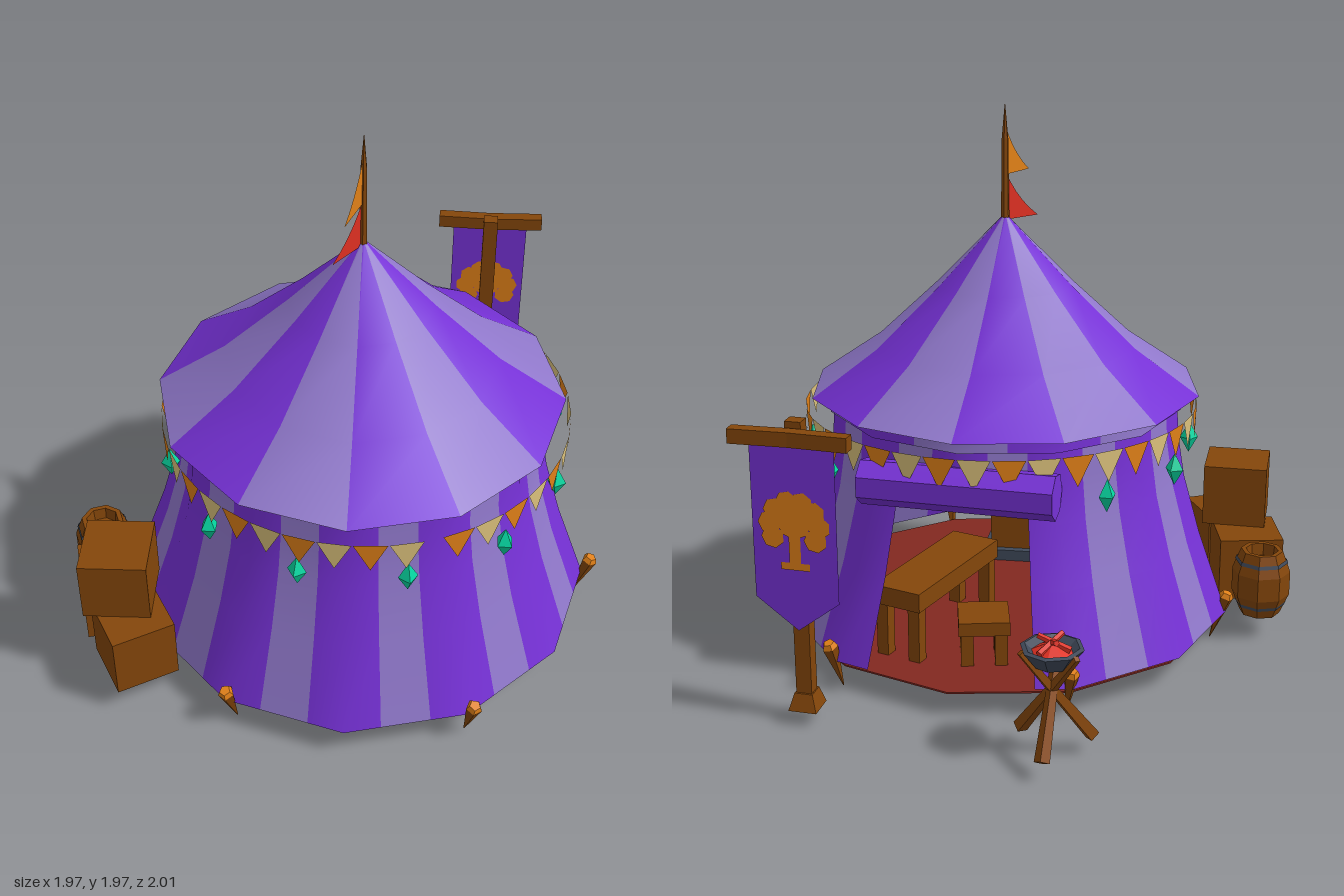
import * as THREE from 'three';

const CX = 0.08, CZ = 0.155, STEP = Math.PI / 6;
const mat = (name, color, double) => {
  const m = new THREE.MeshStandardMaterial({ color });
  m.name = name;
  if (double) m.side = THREE.DoubleSide;
  return m;
};

export function createModel() {
  const root = new THREE.Group();
  root.name = 'fairTent';
  const purple = mat('purpleCloth', 0x7631d6, true);
  const lilac = mat('lilacCloth', 0x9078cb, true);
  const wood = mat('wood', 0x84460a);
  const orange = mat('orange', 0xe08018, true);
  const cream = mat('cream', 0xdcc27c, true);
  const green = mat('greenGem', 0x06d6a0);
  const red = mat('red', 0xe03022, true);
  const carpet = mat('carpet', 0x822820);
  const iron = mat('iron', 0x404a5a, true);

  const add = (name, geo, material, x = 0, y = 0, z = 0, ry = 0, parent = root) => {
    const m = new THREE.Mesh(geo, material);
    m.name = name;
    m.position.set(x, y, z);
    m.rotation.y = ry;
    parent.add(m);
    return m;
  };
  const box = (name, w, h, d, material, x, y, z, ry, parent) =>
    add(name, new THREE.BoxGeometry(w, h, d), material, x, y, z, ry, parent);
  const flat = (g) => { const f = g.index ? g.toNonIndexed() : g; f.computeVertexNormals(); return f; };
  const polar = (a, r, x = CX, z = CZ) => [x + r * Math.sin(a), z + r * Math.cos(a)];
  // tapered bar between two points
  const bar = (name, a, b, ra, rb, sides, material) => {
    const va = new THREE.Vector3(...a), vb = new THREE.Vector3(...b), d = vb.clone().sub(va);
    const m = add(name, flat(new THREE.CylinderGeometry(rb, ra, d.length(), sides)), material);
    m.position.copy(va).add(vb).multiplyScalar(0.5);
    m.quaternion.setFromUnitVectors(new THREE.Vector3(0, 1, 0), d.normalize());
    return m;
  };

  // twelve-sided cloth shell, with stripes cut at the given fractions of each side
  function shell(name, profile, cuts, colorOf, skip = () => false) {
    const pos = [], lists = [[], []], n = cuts.length * 12;
    for (const [r, y] of profile) {
      for (let c = 0; c < n; c++) {
        const f = Math.floor(c / cuts.length), t = cuts[c % cuts.length];
        const p = polar(f * STEP, r), q = polar((f + 1) * STEP, r);
        pos.push(p[0] + (q[0] - p[0]) * t, y, p[1] + (q[1] - p[1]) * t);
      }
    }
    for (let row = 0; row < profile.length - 1; row++) {
      for (let c = 0; c < n; c++) {
        if (skip(row, c)) continue;
        const a = row * n + c, b = row * n + (c + 1) % n;
        lists[colorOf(c)].push(a, b, b + n, a, b + n, a + n);
      }
    }
    const g = new THREE.BufferGeometry();
    g.setAttribute('position', new THREE.Float32BufferAttribute(pos, 3));
    g.setIndex([...lists[0], ...lists[1]]);
    g.addGroup(0, lists[0].length, 0);
    g.addGroup(lists[0].length, lists[1].length, 1);
    g.computeVertexNormals();
    return add(name, g, [purple, lilac]);
  }

  // tent cloth: striped wall with a back doorway, collar band and concave roof
  shell('tentWall', [[0.848, 0.122], [0.738, 0.43], [0.675, 0.65], [0.65, 0.8], [0.64, 0.955]],
    [0, 0.3, 0.7], (c) => (c % 3 === 1 ? 1 : 0),
    (row, c) => row < 3 && c >= 16 && c <= 19);
  shell('collarBand', [[0.655, 0.9], [0.65, 0.955]], [0, 0.5], (c) => (c % 4 === 0 || c % 4 === 3 ? 1 : 0));
  shell('tentRoof', [[0.72, 0.955], [0.48, 1.12], [0.25, 1.335], [0.012, 1.58]], [0], (c) => c % 2);

  // floor
  add('floor', new THREE.CylinderGeometry(0.812, 0.812, 0.006, 12), carpet, CX, 0.093, CZ);

  // rolled door flap
  const roll = add('rolledFlap', flat(new THREE.CylinderGeometry(0.082, 0.082, 0.68, 7)), purple, CX, 0.772, -0.488);
  roll.rotation.z = Math.PI / 2;

  // garland of pennants and hanging gems
  const GX = 0.097, GZ = 0.16;
  const pennant = new THREE.ShapeGeometry(new THREE.Shape([
    new THREE.Vector2(-0.057, 0), new THREE.Vector2(0, -0.11), new THREE.Vector2(0.057, 0)]));
  for (let k = 0; k < 38; k++) {
    const a = THREE.MathUtils.degToRad(28.2 + 9.35 * k), p = polar(a, 0.722, GX, GZ);
    add('pennant', pennant, k % 2 ? cream : orange, p[0], 0.902, p[1], a);
  }
  const gem = flat(new THREE.OctahedronGeometry(1));
  for (let f = 0; f < 12; f++) {
    if (f === 5 || f === 6) continue;
    const a = (f + 0.5) * STEP, g = polar(a, 0.705, GX, GZ);
    add('hangingGem', gem, green, g[0], 0.735, g[1], a).scale.set(0.034, 0.06, 0.034);
  }

  // ground pegs
  for (let k = 0; k < 6; k++) {
    const a = (2 * k + 1) * STEP;
    const [lo, hi, top] = [0.805, 0.86, 0.866].map((r) => polar(a, r, 0.094, 0.16));
    bar('tentPeg', [lo[0], 0.01, lo[1]], [hi[0], 0.178, hi[1]], 0.002, 0.029, 5, wood);
    bar('pegHead', [hi[0], 0.178, hi[1]], [top[0], 0.196, top[1]], 0.029, 0.02, 5, orange);
  }

  // roof pole with two flags
  bar('roofPole', [CX, 1.54, CZ], [CX, 1.86, CZ], 0.016, 0.012, 6, wood);
  bar('poleTip', [CX, 1.86, CZ], [CX, 1.98, CZ], 0.012, 0.001, 6, wood);
  const flag = (name, y, len, dx, dz, material) => {
    const s = new THREE.Shape();
    s.moveTo(0, 0);
    s.lineTo(0, 0.18);
    s.quadraticCurveTo(len * 0.35, 0.07, len, 0);
    add(name, new THREE.ShapeGeometry(s, 5), material, CX, y, CZ, Math.atan2(-dz, dx));
  };
  flag('upperFlag', 1.73, 0.16, -0.05, 0.15, orange);
  flag('lowerFlag', 1.567, 0.155, -0.09, 0.125, red);

  // crates and barrel beside the tent
  box('lowerCrate', 0.24, 0.24, 0.24, wood, -0.805, 0.215, 0.465, 0.28);
  box('lowerCrate', 0.23, 0.24, 0.23, wood, -0.69, 0.215, 0.705, 0.54);
  box('upperCrate', 0.24, 0.235, 0.24, wood, -0.745, 0.453, 0.605, 0.04);
  const lathe = (pts) => flat(new THREE.LatheGeometry(pts.map((p) => new THREE.Vector2(...p)), 8));
  add('barrel', lathe([[0, 0.095], [0.075, 0.095], [0.108, 0.175], [0.108, 0.265], [0.078, 0.345],
    [0.06, 0.345], [0.055, 0.3], [0, 0.3]]), wood, -0.885, 0, 0.25);
  for (const [lo, hi, r0, r1] of [[0.13, 0.143, 0.091, 0.096], [0.3, 0.313, 0.099, 0.094]])
    add('barrelHoop', flat(new THREE.CylinderGeometry(r1, r0, hi - lo, 8, 1, true)), iron, -0.885, (lo + hi) / 2, 0.25);
  add('barrelPlug', new THREE.CylinderGeometry(0.025, 0.025, 0.006, 8), iron, -0.885, 0.303, 0.25);

  // furniture inside: bench, stool, chest and crates
  const table = (name, w, d, h, slab, x, z, ry) => {
    const g = new THREE.Group();
    g.name = name;
    g.position.set(x, 0.093, z);
    g.rotation.y = ry;
    root.add(g);
    box('seatTop', w, slab, d, wood, 0, h - slab / 2, 0, 0, g);
    for (const sx of [-1, 1]) for (const sz of [-1, 1])
      box('leg', 0.045, h - slab, 0.045, wood, sx * (w / 2 - 0.03), (h - slab) / 2, sz * (d / 2 - 0.03), 0, g);
  };
  table('bench', 0.19, 0.56, 0.27, 0.07, 0.25, -0.19, -0.25);
  table('stool', 0.18, 0.18, 0.17, 0.05, 0.03, -0.36, 0.3);
  box('chest', 0.24, 0.2, 0.18, wood, 0.12, 0.188, 0.6, 0.1);
  box('chestTrim', 0.3, 0.05, 0.24, iron, 0.12, 0.115, 0.6, 0.1);
  box('innerCrate', 0.22, 0.22, 0.22, wood, -0.25, 0.198, 0.36, 0.3);
  box('innerCrate', 0.22, 0.22, 0.22, wood, -0.38, 0.198, 0.12, 0.1);

  // banner stand
  const SX = 0.53;
  bar('standBase', [SX, 0.06, -0.795], [SX, 0.12, -0.795], 0.07, 0.045, 4, wood).rotateY(Math.PI / 4);
  box('standPost', 0.055, 1.0, 0.05, wood, SX, 0.58, -0.795, 0);
  for (const s of [-1, 1])
    box('crossbar', 0.205, 0.05, 0.045, wood, SX + s * 0.1, 1.035, -0.853, s * 0.04);
  const cloth = new THREE.Shape([[-0.145, 1.02], [-0.145, 0.47], [0, 0.36], [0.145, 0.47], [0.145, 1.02]]
    .map((p) => new THREE.Vector2(...p)));
  add('banner', new THREE.ShapeGeometry(cloth), purple, SX, 0, -0.84);
  // leafy tree ornament on both faces
  for (const z of [-0.844, -0.836]) {
    for (let k = 0; k < 8; k++) {
      const a = -0.5 + k * 0.6;
      add('treeLeaf', new THREE.CircleGeometry(0.04, 7), orange, SX + 0.085 * Math.cos(a), 0.73 + 0.085 * Math.sin(a), z);
    }
    add('treeCrown', new THREE.CircleGeometry(0.06, 8), orange, SX, 0.745, z);
    add('treeTrunk', new THREE.PlaneGeometry(0.04, 0.14), orange, SX, 0.65, z);
    add('treeRoot', new THREE.PlaneGeometry(0.1, 0.025), orange, SX, 0.59, z);
  }

  // fire bowl on three crossed legs
  const BX = -0.327, BZ = -0.842;
  add('fireBowl', lathe([[0, 0.335], [0.06, 0.345], [0.105, 0.405], [0.09, 0.41], [0.05, 0.375], [0, 0.375]]), iron, BX, 0, BZ);
  add('embers', flat(new THREE.ConeGeometry(0.078, 0.04, 8)), red, BX, 0.405, BZ);
  for (let k = 0; k < 3; k++) {
    const a = Math.PI + k * Math.PI * 2 / 3, s = Math.sin(a), c = Math.cos(a);
    bar('bowlLeg', [BX + s * 0.14, 0.07, BZ + c * 0.14], [BX - s * 0.105, 0.4, BZ - c * 0.105], 0.026, 0.013, 4, wood);
    const b = a + 0.5, u = Math.sin(b) * 0.06, v = Math.cos(b) * 0.06;
    bar('glowingStick', [BX - u, 0.4, BZ - v], [BX + u * 0.8, 0.44, BZ + v * 0.8], 0.013, 0.01, 5, red);
  }
  return root;
}
